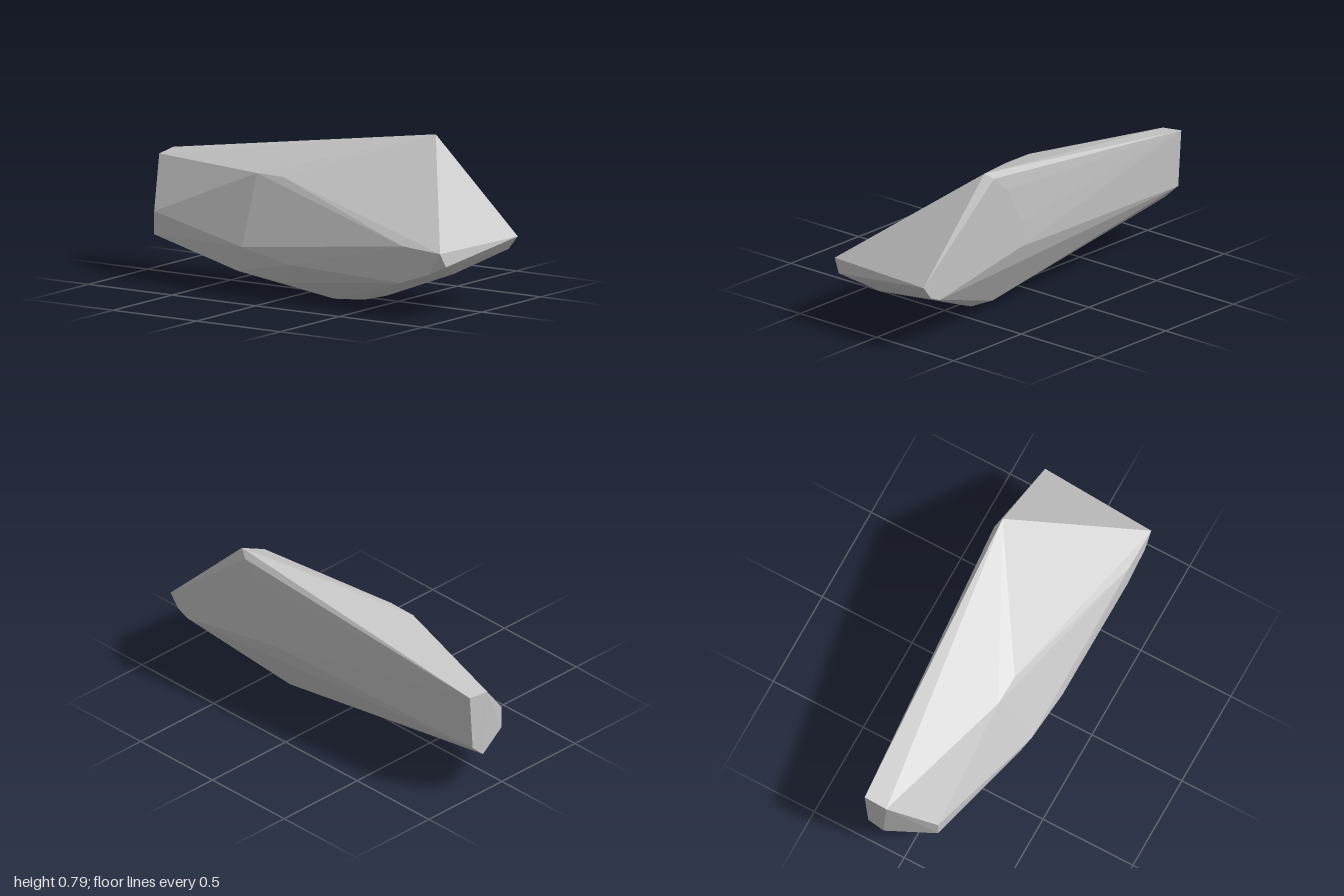
import * as THREE from 'three';
import { ConvexGeometry } from 'three/addons/geometries/ConvexGeometry.js';

export function createModel() {
  const group = new THREE.Group();
  group.name = 'rock';
  const stone = new THREE.MeshStandardMaterial({ color: 0xc6c6c6 });
  stone.name = 'light grey stone';

  // Corners of the boulder; the faceted skin is stretched over them
  const corners = [
    // peak and upper ridge
    [0.525, 0.79, -0.283], [0.48, 0.755, -0.305],
    [-0.26, 0.575, 0.12], [-0.1, 0.573, 0.125],
    // narrow left end
    [-1, 0.575, -0.22], [-1, 0.56, -0.1], [-1, 0.28, -0.2], [-0.99, 0.205, -0.12],
    [-0.875, 0.32, 0.12], [-0.875, 0.205, 0.12],
    // blunt right end
    [0.965, 0.33, 0.305], [1, 0.33, -0.305], [0.975, 0.26, 0.27], [0.945, 0.262, -0.305],
    [0.89, 0.19, 0.08],
    // front face
    [0.74, 0.345, 0.305], [-0.23, 0.235, 0.29], [0.06, 0.18, 0.305],
    [0.72, 0.16, 0.305], [0.9, 0.22, 0.305],
    // flat back face
    [0.38, 0.67, -0.305], [0.28, 0.48, -0.305], [0.28, 0.345, -0.305], [0.88, 0.235, -0.305],
    // underside
    [-0.28, 0.105, 0.25], [0, 0.075, 0.245], [0.24, 0.012, 0.175], [0.4, 0.02, 0.15],
    [0.15, 0.015, -0.02], [0.28, 0, 0.02], [0.385, 0.006, -0.07], [0.32, 0.04, -0.155],
  ].map((p) => new THREE.Vector3(...p));

  const boulder = new THREE.Mesh(new ConvexGeometry(corners), stone);
  boulder.name = 'boulder';
  group.add(boulder);
  return group;
}
